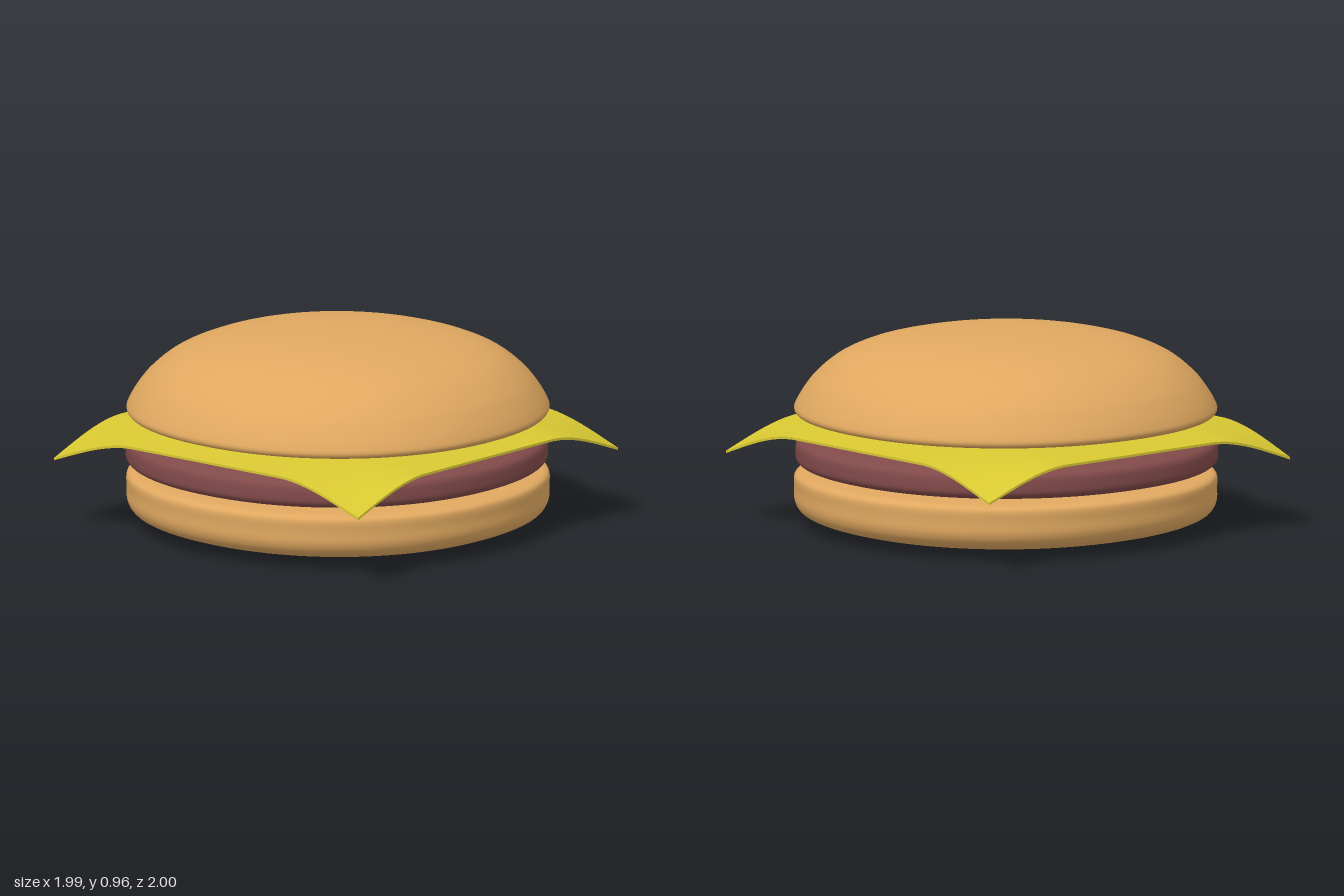
import * as THREE from 'three';
import { mergeVertices } from 'three/addons/utils/BufferGeometryUtils.js';

const SQUARENESS = 2.13; // 2 would be a true circle

// Revolves a bottom-to-top [radius, y] profile, then squares its plan slightly.
function softDisc(name, color, profile, x, z) {
  const curve = new THREE.CatmullRomCurve3(
    profile.map(([r, y]) => new THREE.Vector3(r, y, 0)), false, 'centripetal');
  const points = curve.getPoints(64).map((p) => new THREE.Vector2(Math.max(p.x, 0), p.y));
  const lathe = new THREE.LatheGeometry(points, 96);
  const pos = lathe.attributes.position;
  for (let i = 0; i < pos.count; i++) {
    const px = pos.getX(i), pz = pos.getZ(i), r = Math.hypot(px, pz);
    if (r < 1e-6) continue;
    const k = (Math.abs(px / r) ** SQUARENESS + Math.abs(pz / r) ** SQUARENESS) ** (-1 / SQUARENESS);
    pos.setX(i, px * k);
    pos.setZ(i, pz * k);
  }
  // Weld the seam so the normals stay smooth all round
  lathe.deleteAttribute('uv');
  lathe.deleteAttribute('normal');
  const geometry = mergeVertices(lathe);
  geometry.computeVertexNormals();
  const mesh = new THREE.Mesh(geometry, new THREE.MeshStandardMaterial({ color }));
  mesh.name = name;
  mesh.position.set(x, 0, z);
  return mesh;
}

// Thin square slice: flat in the middle, edges sagging and corners drooping.
function cheeseSlice() {
  const half = 0.961;
  const geometry = new THREE.BoxGeometry(half * 2, 0.012, half * 2, 40, 1, 40);
  const sag = (v) => {
    const t = Math.max(0, (Math.abs(v) - 0.46) / (half - 0.46));
    return t * t * (1.6 - 0.6 * t);
  };
  const pos = geometry.attributes.position;
  for (let i = 0; i < pos.count; i++) {
    const a = sag(pos.getX(i)), b = sag(pos.getZ(i));
    pos.setY(i, pos.getY(i) + 0.519 - 0.045 * (a + b) - 0.085 * a * b);
  }
  geometry.computeVertexNormals();
  const mesh = new THREE.Mesh(geometry, new THREE.MeshStandardMaterial({ color: 0xd8c832 }));
  mesh.name = 'cheeseSlice';
  mesh.position.set(-0.018, 0, 0.003);
  return mesh;
}

export function createModel() {
  const group = new THREE.Group();
  group.name = 'cheeseburger';
  const bun = 0xe0a860;

  group.add(softDisc('bottomBun', bun, [
    [0, 0], [0.3, 0.003], [0.6, 0.013], [0.8, 0.03], [0.91, 0.055], [0.97, 0.087],
    [0.993, 0.13], [0.995, 0.19], [0.994, 0.25], [0.975, 0.267], [0.9, 0.277],
    [0.6, 0.285], [0, 0.287],
  ], -0.003, 0.003));

  group.add(softDisc('patty', 0x824a4a, [
    [0, 0.287], [0.6, 0.288], [0.85, 0.294], [0.96, 0.308], [0.99, 0.33], [0.995, 0.37],
    [0.988, 0.415], [0.96, 0.437], [0.85, 0.457], [0.6, 0.47], [0, 0.475],
  ], -0.003, -0.005));

  group.add(cheeseSlice());

  group.add(softDisc('topBun', bun, [
    [0, 0.535], [0.6, 0.537], [0.8, 0.542], [0.94, 0.549], [0.985, 0.558], [0.996, 0.578],
    [0.985, 0.61], [0.95, 0.67], [0.9, 0.735], [0.8, 0.82], [0.7, 0.87], [0.6, 0.902],
    [0.4, 0.938], [0.2, 0.955], [0, 0.96],
  ], -0.003, 0.003));

  return group;
}
